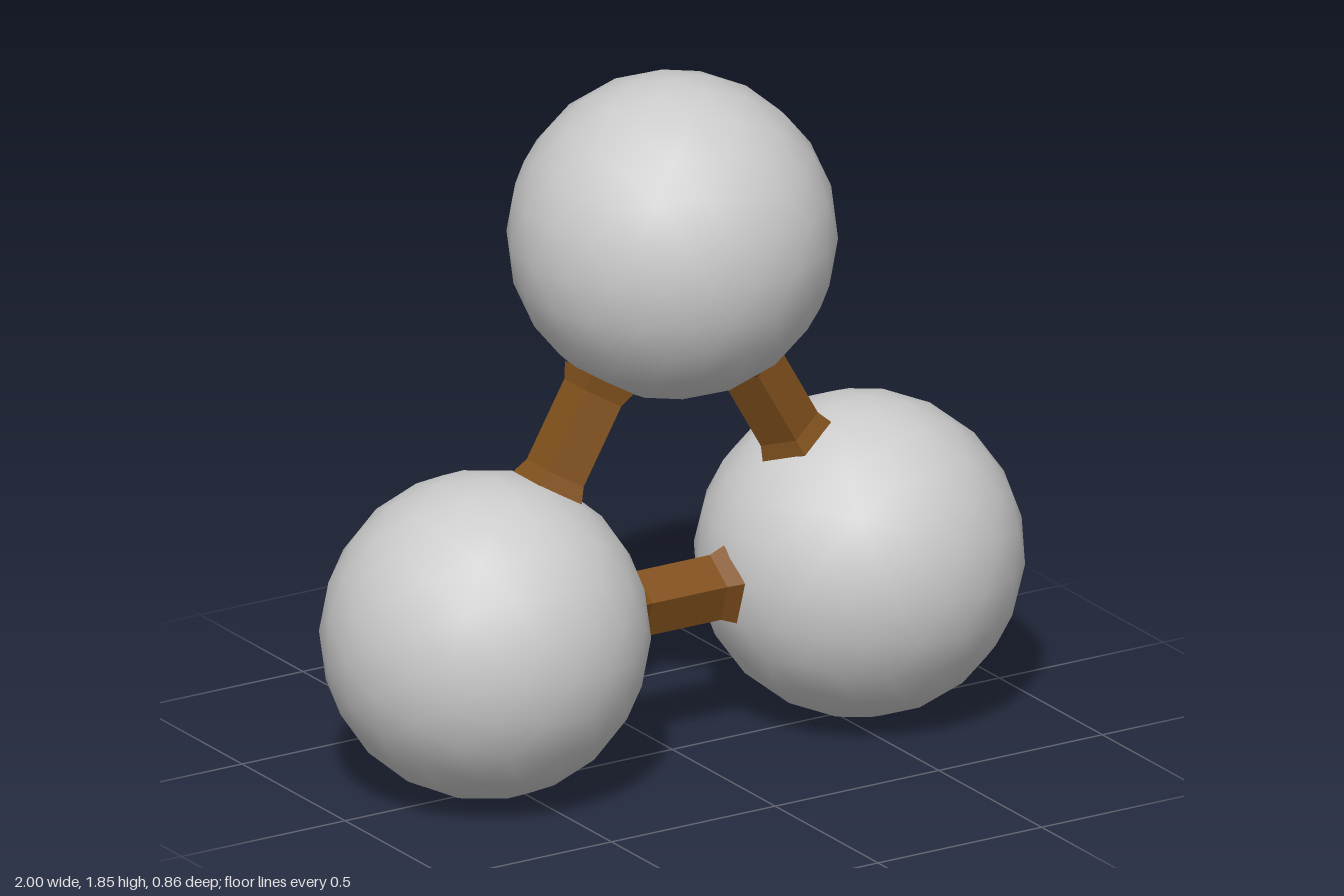
import * as THREE from 'three';

const RADIUS = 0.43;      // ball radius
const SPAN = 0.572;       // half the distance between two ball centres
const CENTRE_Y = 0.762;   // height of the triangle's centre

export function createModel() {
  const model = new THREE.Group();
  model.name = 'ballTriangle';

  const ballMaterial = new THREE.MeshStandardMaterial({ color: 0xcccccc });
  const barMaterial = new THREE.MeshStandardMaterial({ color: 0x80501c, flatShading: true });

  // Smooth-shaded icosphere, turned so that one vertex is the top pole
  const ballGeometry = new THREE.IcosahedronGeometry(RADIUS, 3);
  ballGeometry.rotateZ(-Math.atan(2 / (1 + Math.sqrt(5))));

  // Five-sided bar with flared ends, one ridge pointing up
  const profile = [
    [0, -0.158], [0.108, -0.158], [0.09, -0.115],
    [0.09, 0.115], [0.108, 0.158], [0, 0.158],
  ].map(([r, y]) => new THREE.Vector2(r, y));
  const barGeometry = new THREE.LatheGeometry(profile, 5, Math.PI / 2);
  barGeometry.rotateZ(Math.PI / 2);

  // Three thirds around the centre: a ball at each corner, a bar on each opposite side
  ['top', 'right', 'left'].forEach((place, i) => {
    const third = new THREE.Group();
    third.name = place + 'Third';
    third.position.y = CENTRE_Y;
    third.rotation.z = (i * 2 * Math.PI) / 3;

    const ball = new THREE.Mesh(ballGeometry, ballMaterial);
    ball.name = place + 'Ball';
    ball.position.y = (SPAN * 2) / Math.sqrt(3);

    const bar = new THREE.Mesh(barGeometry, barMaterial);
    bar.name = 'barOpposite' + place[0].toUpperCase() + place.slice(1);
    bar.position.y = -SPAN / Math.sqrt(3) - 0.006;

    third.add(ball, bar);
    model.add(third);
  });

  return model;
}
